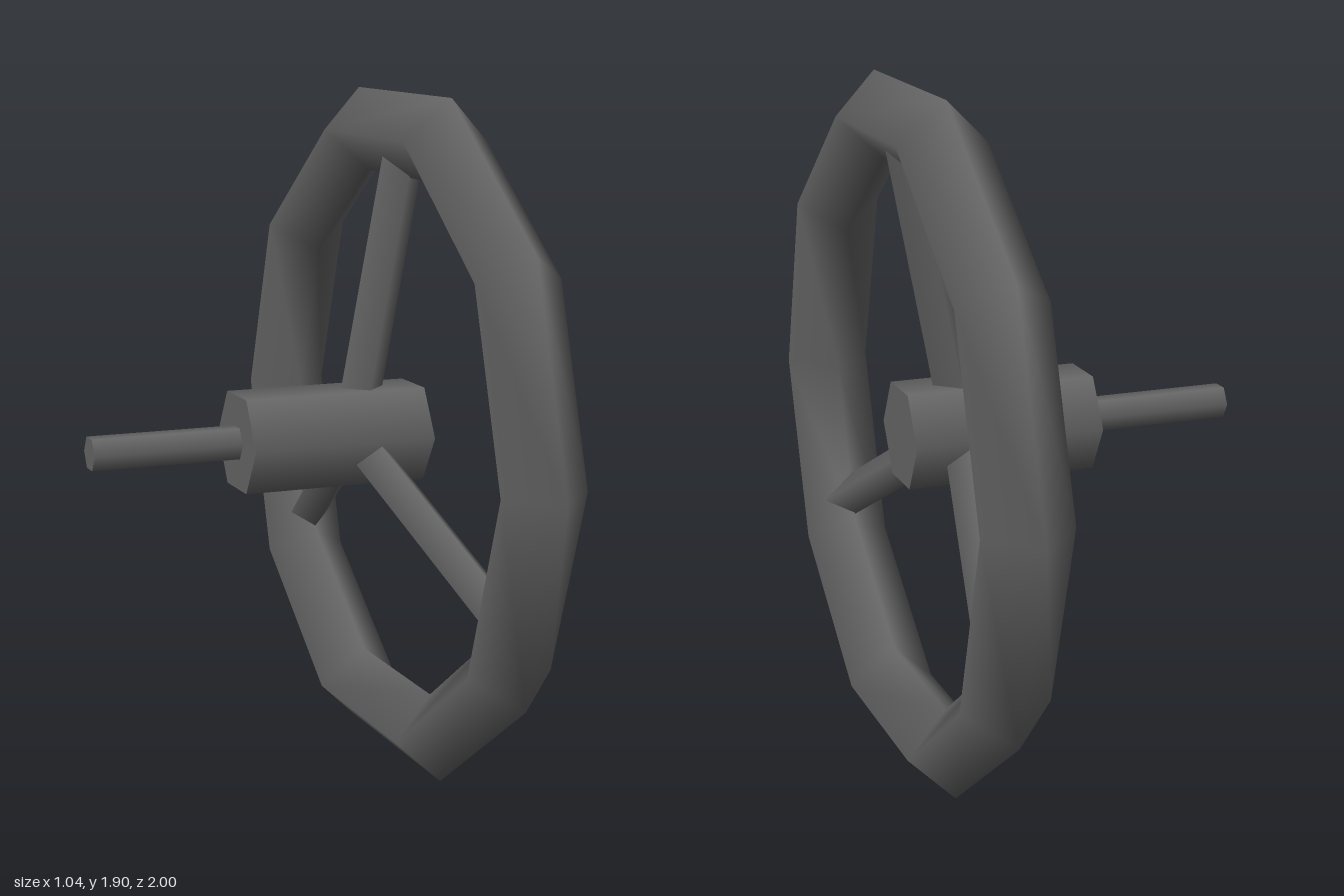
import * as THREE from 'three';

export function createModel() {
  const model = new THREE.Group();
  model.name = 'handWheel';
  const iron = new THREE.MeshStandardMaterial({ color: 0x666666 });
  iron.name = 'darkIron';

  // The wheel turns around a horizontal axle along x
  const wheel = new THREE.Group();
  wheel.name = 'wheel';
  wheel.position.y = 0.951;
  model.add(wheel);

  const add = (parent, name, geometry) => {
    const mesh = new THREE.Mesh(geometry, iron);
    mesh.name = name;
    parent.add(mesh);
    return mesh;
  };

  // Ten-sided rim with a diamond section
  add(wheel, 'rim', new THREE.TorusGeometry(0.878, 0.122, 4, 10).rotateY(Math.PI / 2)).position.x = 0.398;

  // Hexagonal hub and axle
  const axial = (name, radius, x0, x1) => {
    const bar = add(wheel, name, new THREE.CylinderGeometry(radius, radius, x1 - x0, 6).rotateZ(Math.PI / 2));
    bar.position.x = (x0 + x1) / 2;
  };
  axial('hub', 0.152, -0.095, 0.44);
  axial('axle', 0.05, -0.52, -0.08);

  // Three dished spokes, leaning towards the rim plane
  const inner = new THREE.Vector2(0.268, 0.06);
  const outer = new THREE.Vector2(0.412, 0.84);
  const span = outer.clone().sub(inner);
  for (let i = 0; i < 3; i++) {
    const arm = new THREE.Group();
    arm.name = 'spokeArm' + (i + 1);
    arm.rotation.x = (i * Math.PI * 2) / 3;
    wheel.add(arm);
    const spoke = add(arm, 'spoke', new THREE.CylinderGeometry(0.062, 0.062, span.length(), 4));
    spoke.position.set((inner.x + outer.x) / 2, (inner.y + outer.y) / 2, 0);
    spoke.rotation.z = -Math.atan2(span.x, span.y);
  }

  return model;
}
